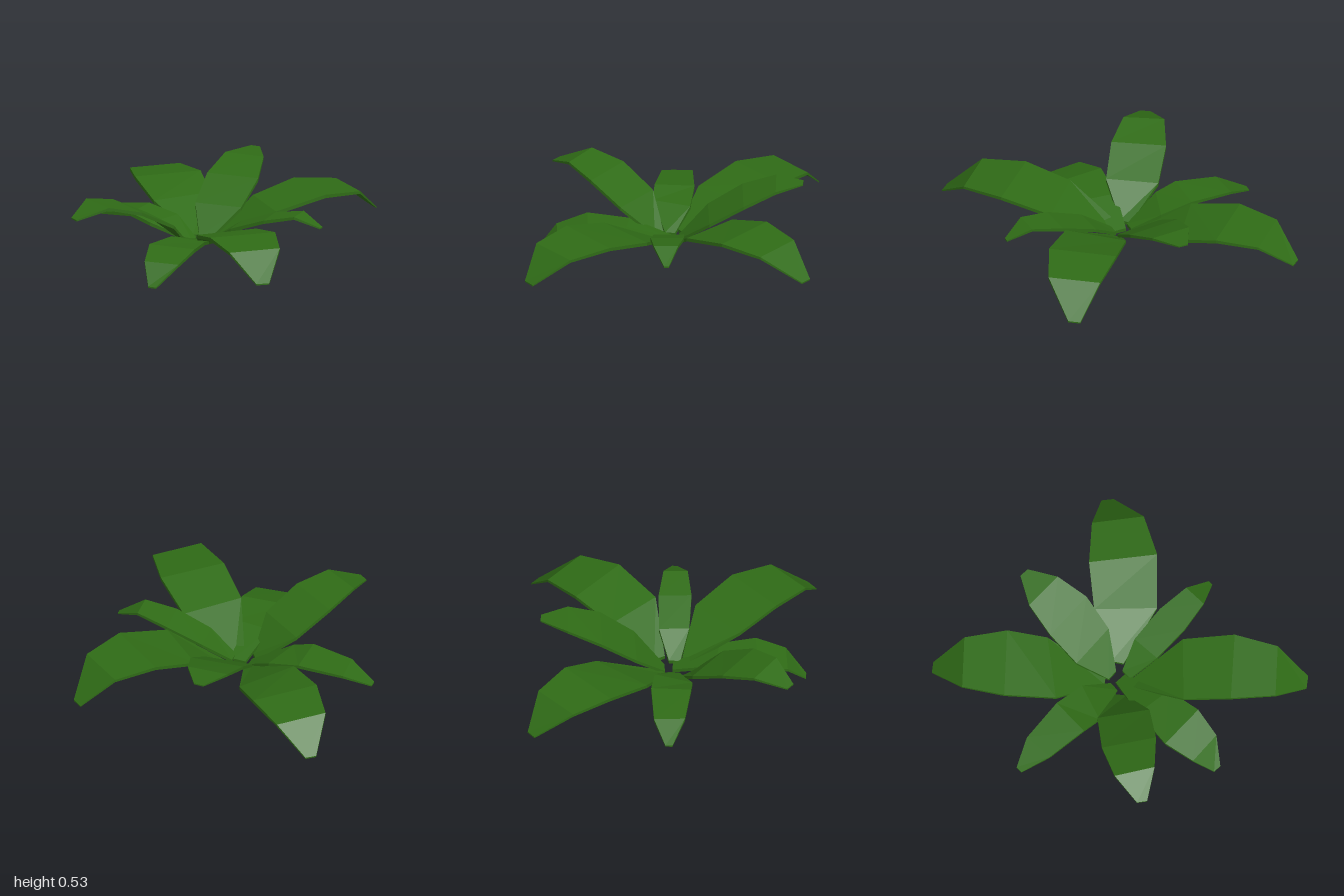
import * as THREE from 'three';

const green = new THREE.MeshStandardMaterial({ color: 0x2f6b16, flatShading: true });
const THICKNESS = [0.025, 0.025, 0.025, 0.02, 0.01];

// Thin closed leaf blade. Each row is [left x, left z, right x, right z, top y],
// running from the base to the tip; left and right as seen looking outward.
function leaf(name, rows) {
  const points = [];
  rows.forEach(([lx, lz, rx, rz, y], i) => {
    const low = y - THICKNESS[i];
    points.push(lx, y, lz, rx, y, rz, rx, low, rz, lx, low, lz);
  });
  const index = [];
  const quad = (a, b, c, d) => index.push(a, b, c, a, c, d);
  for (let i = 0; i < rows.length - 1; i++) {
    for (let j = 0; j < 4; j++) {
      const k = (j + 1) % 4;
      quad(i * 4 + j, i * 4 + k, i * 4 + 4 + k, i * 4 + 4 + j);
    }
  }
  const end = (rows.length - 1) * 4;
  quad(3, 2, 1, 0);
  quad(end, end + 1, end + 2, end + 3);

  const indexed = new THREE.BufferGeometry();
  indexed.setAttribute('position', new THREE.Float32BufferAttribute(points, 3));
  indexed.setIndex(index);
  const geometry = indexed.toNonIndexed();
  geometry.computeVertexNormals();
  const mesh = new THREE.Mesh(geometry, green);
  mesh.name = name;
  return mesh;
}

export function createModel() {
  const plant = new THREE.Group();
  plant.name = 'leafRosette';

  // Leaves along the axes
  plant.add(leaf('frontLeaf', [
    [0.06, 0.04, -0.03, 0.04, 0.1],
    [0.18, 0.36, -0.09, 0.34, 0.19],
    [0.23, 0.61, -0.11, 0.64, 0.21],
    [0.21, 0.82, -0.04, 0.85, 0.15],
    [0.11, 0.97, 0.05, 0.97, 0.01],
  ]));
  plant.add(leaf('backLeaf', [
    [-0.05, -0.01, 0.03, -0.02, 0.1],
    [-0.18, -0.2, 0.16, -0.24, 0.28],
    [-0.21, -0.44, 0.17, -0.48, 0.43],
    [-0.19, -0.68, 0.1, -0.7, 0.52],
    [-0.09, -0.88, -0.02, -0.88, 0.53],
  ]));
  plant.add(leaf('leftLeaf', [
    [0.06, 0.01, 0.06, 0.09, 0.11],
    [0.25, -0.07, 0.27, 0.14, 0.24],
    [0.51, -0.09, 0.53, 0.14, 0.335],
    [0.74, -0.07, 0.75, 0.1, 0.38],
    [0.91, -0.02, 0.91, 0.015, 0.3],
  ]));
  plant.add(leaf('rightLeaf', [
    [-0.06, 0.09, -0.06, 0.02, 0.1],
    [-0.33, 0.2, -0.25, -0.07, 0.22],
    [-0.48, 0.2, -0.48, -0.08, 0.27],
    [-0.78, 0.175, -0.8, -0.04, 0.24],
    [-0.98, 0.1, -0.98, 0.05, 0.15],
  ]));

  // Leaves along the diagonals
  plant.add(leaf('frontLeftLeaf', [
    [0.07, 0.1, 0.0, 0.1, 0.11],
    [0.49, 0.17, 0.19, 0.5, 0.28],
    [0.76, 0.41, 0.42, 0.74, 0.355],
    [0.93, 0.67, 0.67, 0.93, 0.33],
    [0.98, 0.93, 0.91, 0.99, 0.15],
  ]));
  plant.add(leaf('frontRightLeaf', [
    [-0.04, 0.16, -0.09, 0.1, 0.09],
    [-0.04, 0.4, -0.35, 0.2, 0.29],
    [-0.18, 0.62, -0.51, 0.42, 0.425],
    [-0.35, 0.79, -0.6, 0.65, 0.48],
    [-0.54, 0.92, -0.6, 0.88, 0.4],
  ]));
  plant.add(leaf('backLeftLeaf', [
    [0.05, -0.09, 0.1, -0.02, 0.12],
    [0.17, -0.4, 0.5, -0.11, 0.33],
    [0.36, -0.66, 0.75, -0.38, 0.415],
    [0.58, -0.87, 0.88, -0.66, 0.385],
    [0.79, -1.0, 0.86, -0.95, 0.19],
  ]));
  plant.add(leaf('backRightLeaf', [
    [-0.1, 0.0, -0.05, -0.04, 0.11],
    [-0.46, -0.11, -0.2, -0.48, 0.28],
    [-0.73, -0.35, -0.39, -0.69, 0.355],
    [-0.9, -0.6, -0.64, -0.86, 0.33],
    [-0.94, -0.87, -0.88, -0.92, 0.15],
  ]));

  return plant;
}
